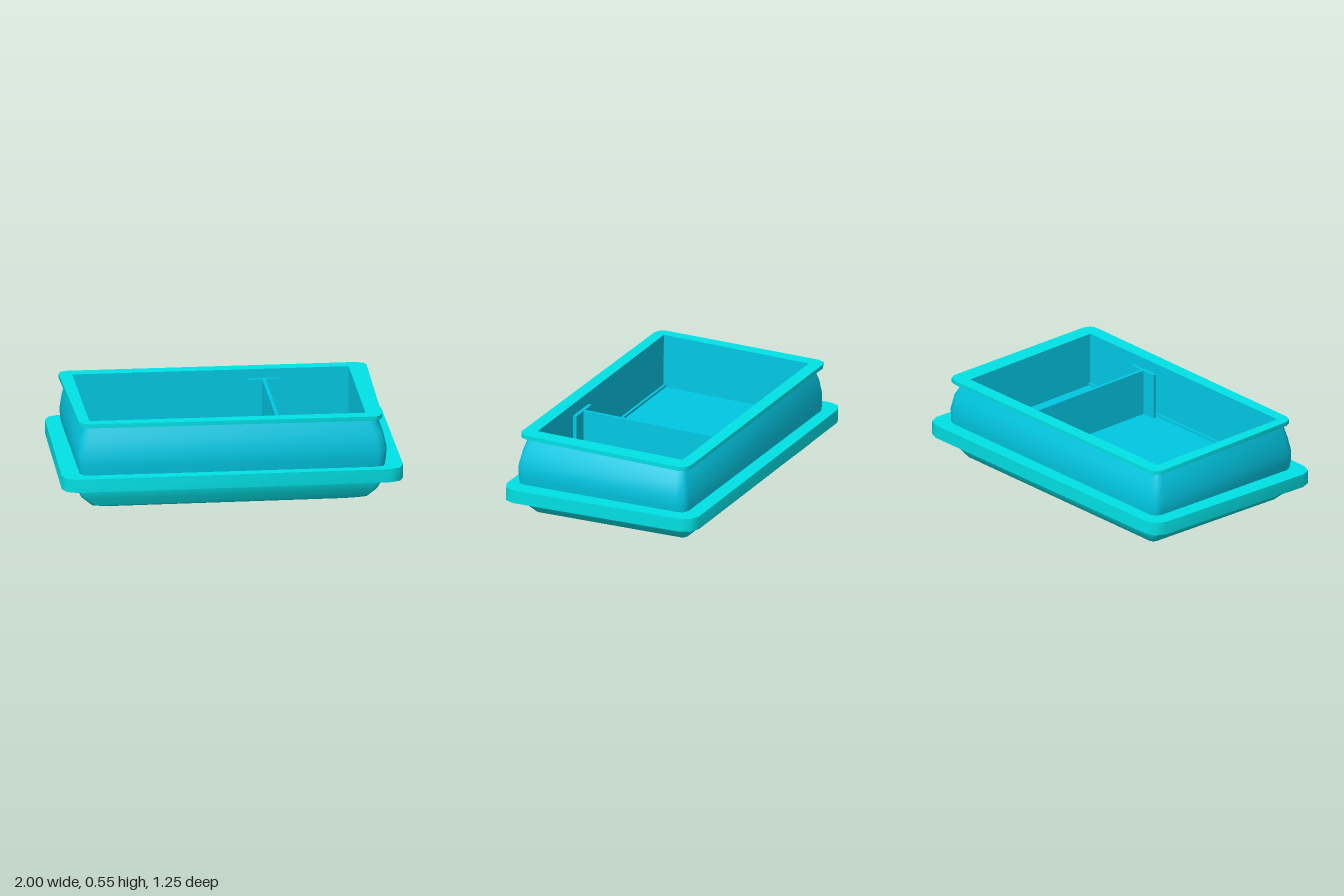
import * as THREE from 'three';
import { toCreasedNormals } from 'three/addons/utils/BufferGeometryUtils.js';

const STEPS = 2; // segments in each rounded corner

// One rounded rectangle: [x0, x1, z0, z1, y, radius]
function loop([x0, x1, z0, z1, y, r], warp) {
  const corners = [[x1 - r, z1 - r], [x0 + r, z1 - r], [x0 + r, z0 + r], [x1 - r, z0 + r]];
  const points = [];
  corners.forEach(([cx, cz], c) => {
    for (let i = 0; i <= STEPS; i++) {
      const a = (c + i / STEPS) * Math.PI / 2;
      const p = new THREE.Vector3(cx + r * Math.cos(a), y, cz + r * Math.sin(a));
      warp(p);
      points.push(p);
    }
  });
  return points;
}

// Skin a stack of rounded rectangles, with optional end caps
function loft(sections, { first = false, last = false, crease = 0.9, warp = () => {} } = {}) {
  const loops = sections.map((s) => loop(s, warp));
  const n = loops[0].length;
  const pos = [];
  const tri = (...ps) => ps.forEach((p) => pos.push(p.x, p.y, p.z));
  for (let k = 0; k + 1 < loops.length; k++) {
    const a = loops[k], b = loops[k + 1];
    for (let i = 0; i < n; i++) {
      const j = (i + 1) % n;
      tri(a[i], b[i], a[j]);
      tri(a[j], b[i], b[j]);
    }
  }
  const cap = (pts, flip) => {
    const c = pts.reduce((s, p) => s.add(p), new THREE.Vector3()).divideScalar(n);
    pts.forEach((p, i) => {
      const q = pts[(i + 1) % n];
      if (flip) tri(c, q, p); else tri(c, p, q);
    });
  };
  if (first) cap(loops[0], false);
  if (last) cap(loops[loops.length - 1], true);
  const geo = new THREE.BufferGeometry();
  geo.setAttribute('position', new THREE.Float32BufferAttribute(pos, 3));
  return toCreasedNormals(geo, crease);
}

export function createModel() {
  const group = new THREE.Group();
  const teal = new THREE.MeshStandardMaterial({ color: 0x00e1e5 });
  teal.name = 'teal';
  const blue = new THREE.MeshStandardMaterial({ color: 0x00c8e4 });
  blue.name = 'blue';

  const add = (name, geometry, material) => {
    const mesh = new THREE.Mesh(geometry, material);
    mesh.name = name;
    group.add(mesh);
    return mesh;
  };

  // Rounded base under the flange, leaning slightly towards the front
  add('base', loft([
    [-0.68, 0.65, -0.38, 0.38, 0.008, 0.02],
    [-0.75, 0.73, -0.42, 0.42, 0.022, 0.02],
    [-0.82, 0.80, -0.485, 0.50, 0.052, 0.03],
    [-0.875, 0.855, -0.515, 0.52, 0.1, 0.035],
    [-0.905, 0.885, -0.53, 0.535, 0.155, 0.04],
    [-0.905, 0.885, -0.53, 0.535, 0.2, 0.04],
  ], { first: true, crease: 0.6, warp: (p) => { p.y += 0.004 * p.x - 0.02 * p.z; } }), teal);

  // Wide flange ring, a little tilted and narrower at the back
  add('flange', loft([
    [-0.85, 0.83, -0.48, 0.505, 0.172, 0.01],
    [-0.99, 0.992, -0.62, 0.622, 0.172, 0.085],
    [-0.99, 0.992, -0.62, 0.622, 0.252, 0.085],
    [-0.85, 0.83, -0.48, 0.505, 0.252, 0.01],
  ], {
    warp: (p) => {
      p.y += 0.004 * p.x - 0.02 * p.z;
      if (p.z < 0) p.z -= 0.008 * p.x;
      p.x *= 1 + 0.013 * p.z;
    },
  }), teal);

  // The front of the wall and rim runs slightly askew
  const skewFront = (p) => { if (p.z > 0.49) p.z += 0.01 * p.x; };

  // Bulging outer wall
  add('outerWall', loft([
    [-0.885, 0.89, -0.53, 0.557, 0.22, 0.045],
    [-0.9, 0.9, -0.535, 0.564, 0.29, 0.05],
    [-0.903, 0.905, -0.535, 0.567, 0.35, 0.055],
    [-0.89, 0.885, -0.52, 0.547, 0.44, 0.05],
    [-0.86, 0.83, -0.485, 0.52, 0.53, 0.03],
  ], { warp: skewFront }), blue);

  // Flat rim around the opening, narrowing towards the front
  add('rim', loft([
    [-0.83, 0.785, -0.46, 0.485, 0.524, 0.001],
    [-0.9, 0.885, -0.54, 0.56, 0.524, 0.055],
    [-0.9, 0.885, -0.54, 0.56, 0.549, 0.055],
    [-0.83, 0.785, -0.46, 0.485, 0.549, 0.001],
  ], {
    warp: (p) => {
      skewFront(p);
      if (Math.abs(p.x) > 0.835) p.x *= 1 - 0.018 * p.z;
    },
  }), teal);

  // Open compartment with a narrow ledge along the front of its floor
  add('innerCompartment', loft([
    [-0.83, 0.785, -0.46, 0.485, 0.549, 0.001],
    [-0.825, 0.785, -0.46, 0.485, 0.238, 0.001],
    [-0.825, 0.785, -0.46, 0.47, 0.238, 0.001],
    [-0.825, 0.785, -0.46, 0.47, 0.224, 0.001],
  ], { last: true, crease: 0.3 }), blue);

  // Divider panel with a cross plate at each end
  const height = 0.28, middle = 0.361;
  const panel = add('divider', new THREE.BoxGeometry(0.02, height, 0.87), blue);
  panel.position.set(0.285, middle, 0.012);
  for (const [name, z] of [['dividerBackPlate', -0.424], ['dividerFrontPlate', 0.448]]) {
    add(name, new THREE.BoxGeometry(0.195, height, 0.022), blue).position.set(0.285, middle, z);
  }
  return group;
}
